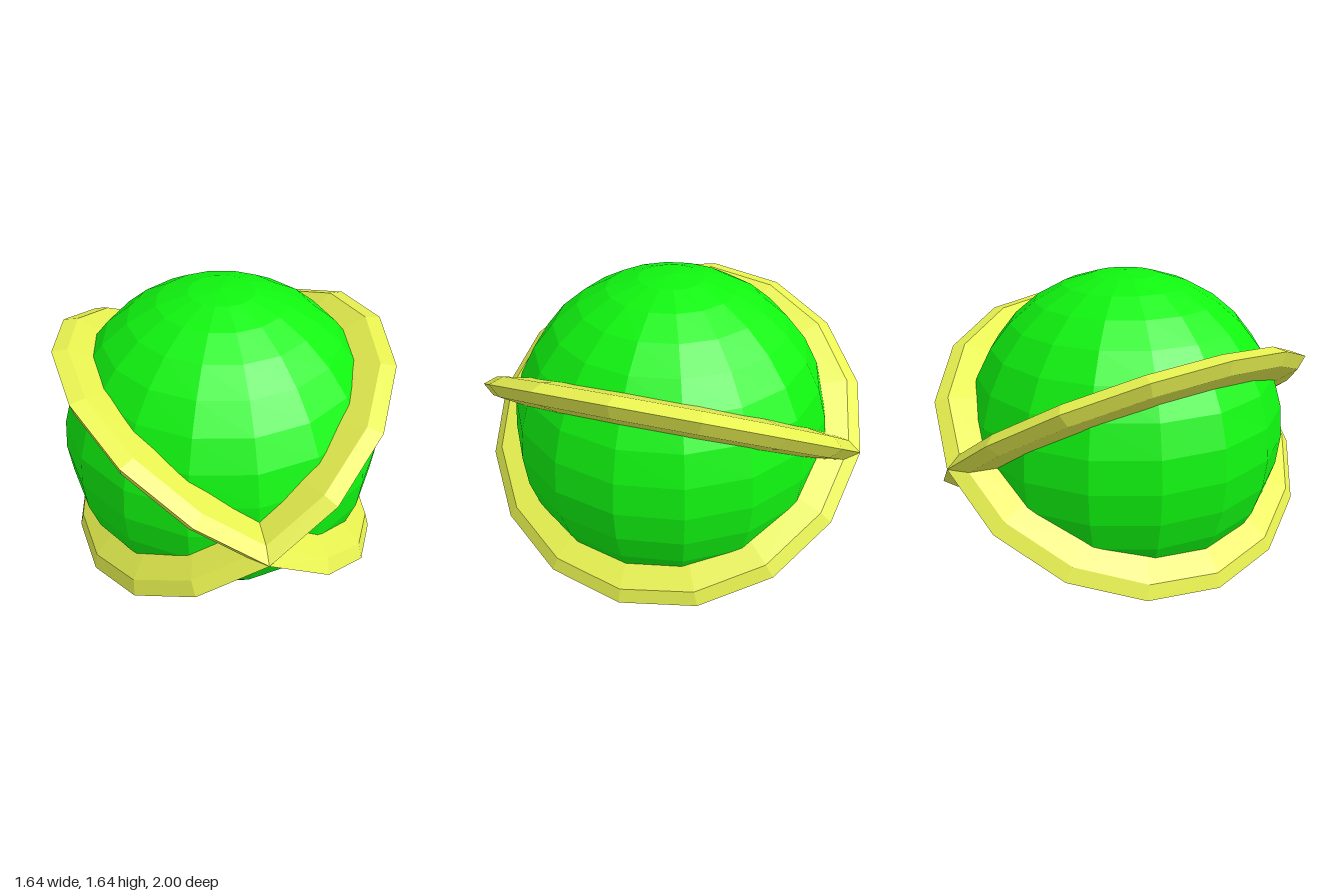
import * as THREE from 'three';

const RADIUS = 0.822;
const TILT = THREE.MathUtils.degToRad(35);

export function createModel() {
  const model = new THREE.Group();
  model.name = 'ringedPlanet';
  const green = new THREE.MeshStandardMaterial({ color: 0x10f510, flatShading: true });
  const yellow = new THREE.MeshStandardMaterial({ color: 0xe8f250, flatShading: true });

  // Faceted globe standing on the ground
  const globe = new THREE.Mesh(new THREE.SphereGeometry(RADIUS, 16, 16), green);
  globe.name = 'globe';
  globe.position.y = RADIUS;
  model.add(globe);

  // Two flattened rings, mirrored in tilt, crossing at front and back
  for (const side of [1, -1]) {
    const geometry = new THREE.TorusGeometry(0.8, 0.2, 8, 16);
    geometry.scale(1, 1, 0.35);
    geometry.rotateX(Math.PI / 2);
    geometry.rotateZ(side * TILT);
    const ring = new THREE.Mesh(geometry, yellow);
    ring.name = side > 0 ? 'ringRisingLeft' : 'ringRisingRight';
    ring.position.y = RADIUS;
    model.add(ring);
  }
  return model;
}
